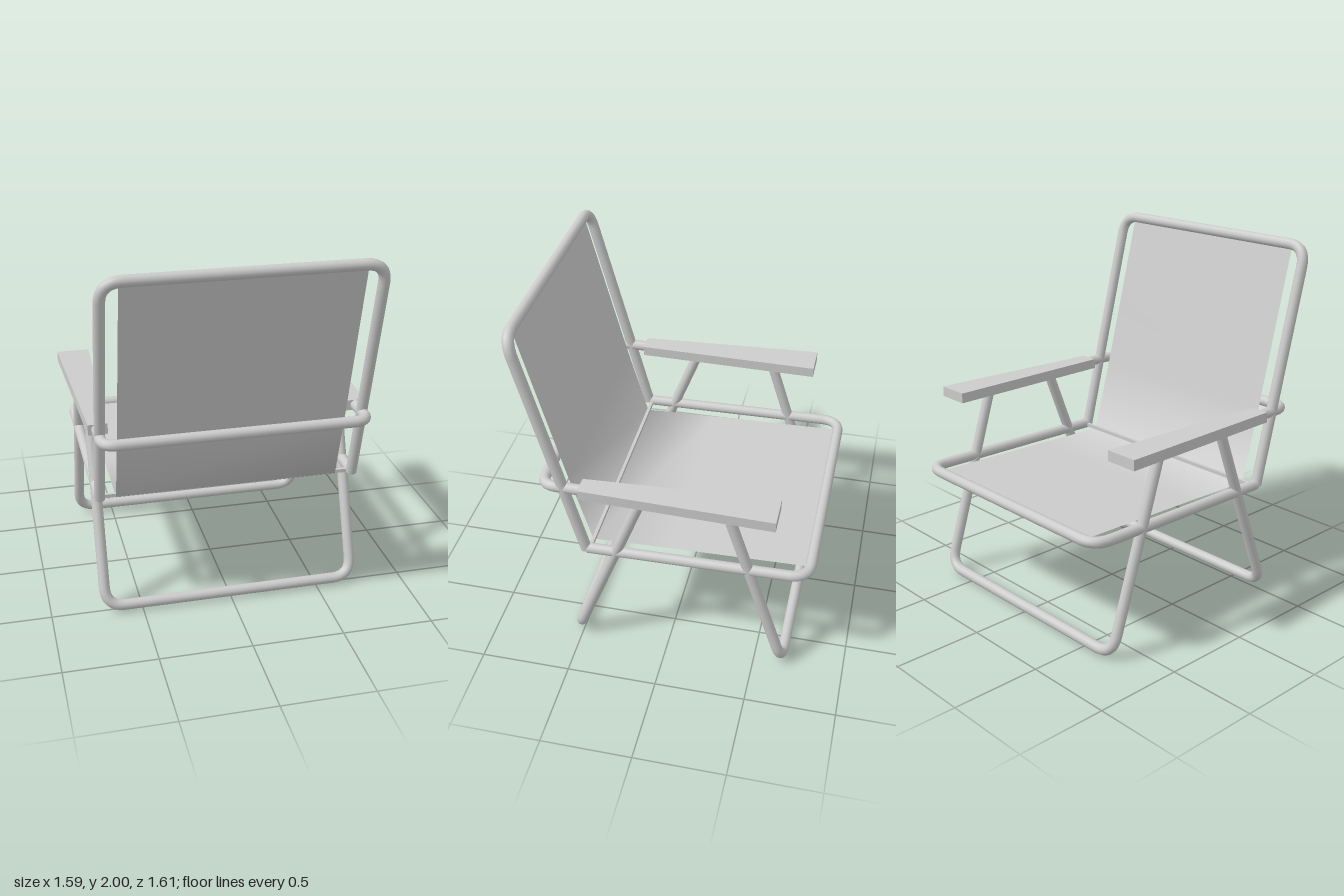
import * as THREE from 'three';

const R = 0.03;   // tube radius
const X = 0.705;  // half width of the frame, to the tube centre

const grey = new THREE.MeshStandardMaterial({ color: 0xcccccc });
grey.name = 'grey';
const greySheet = grey.clone();
greySheet.name = 'grey sheet';
greySheet.side = THREE.DoubleSide;

// U-shaped tube: two arms start at (y, z) "open" and meet in a crossbar at (y, z) "closed"
function uTube(name, open, closed, bend) {
  const at = (x, p) => new THREE.Vector3(x, p[0], p[1]);
  const pts = [at(X, open), at(X, closed), at(-X, closed), at(-X, open)];
  const toward = (a, b, d) => b.clone().sub(a).setLength(d).add(a);
  const path = new THREE.CurvePath();
  let from = pts[0];
  for (const i of [1, 2]) {
    const a = toward(pts[i], pts[i - 1], bend);
    const b = toward(pts[i], pts[i + 1], bend);
    path.add(new THREE.LineCurve3(from, a));
    path.add(new THREE.QuadraticBezierCurve3(a, pts[i], b));
    from = b;
  }
  path.add(new THREE.LineCurve3(from, pts[3]));

  const group = new THREE.Group();
  group.name = name;
  const tube = new THREE.Mesh(new THREE.TubeGeometry(path, 160, R, 12, false), grey);
  tube.name = name + 'Tube';
  group.add(tube);
  // flat caps on the two open ends
  for (const [end, next] of [[pts[0], pts[1]], [pts[3], pts[2]]]) {
    const cap = new THREE.Mesh(new THREE.CircleGeometry(R, 12), grey);
    cap.name = name + 'Cap';
    cap.position.copy(end);
    cap.lookAt(end.clone().multiplyScalar(2).sub(next));
    group.add(cap);
  }
  return group;
}

// One smooth sheet running down the backrest and forward along the seat
function fabric() {
  const rows = [[1.97, 0.775], [1.5, 0.655], [1.08, 0.547], [0.66, 0.43], [0.675, 0], [0.685, -0.4], [0.695, -0.77]];
  const w = 0.615;
  const pos = [];
  const index = [];
  rows.forEach(([y, z], i) => {
    pos.push(-w, y, z, w, y, z);
    if (i) {
      const a = 2 * i - 2;
      index.push(a, a + 2, a + 1, a + 1, a + 2, a + 3);
    }
  });
  const g = new THREE.BufferGeometry();
  g.setAttribute('position', new THREE.Float32BufferAttribute(pos, 3));
  // faces point toward the sitter
  g.setIndex(index.reverse());
  g.computeVertexNormals();
  const mesh = new THREE.Mesh(g, greySheet);
  mesh.name = 'fabric';
  return mesh;
}

// Tapered armrest, wider toward the sitter's hands
function armrest(side) {
  const g = new THREE.BoxGeometry(1, 1, 1);
  const p = g.attributes.position;
  for (let i = 0; i < p.count; i++) {
    const hand = p.getZ(i) < 0;
    const outer = p.getX(i) * side > 0;
    const x = hand ? (outer ? 0.795 : 0.61) : (outer ? 0.752 : 0.648);
    const y = (hand ? 1.095 : 1.08) + p.getY(i) * 0.058;
    p.setXYZ(i, side * x, y, hand ? -0.595 : 0.455);
  }
  g.computeVertexNormals();
  const mesh = new THREE.Mesh(g, grey);
  mesh.name = side > 0 ? 'leftArmrest' : 'rightArmrest';
  return mesh;
}

export function createModel() {
  const model = new THREE.Group();
  model.name = 'foldingChair';

  // bent tube frames
  model.add(
    uTube('backrestFrame', [0.67, 0.443], [1.97, 0.776], 0.11),
    uTube('seatFrame', [0.675, 0.435], [0.695, -0.772], 0.11),
    uTube('backLegs', [1.07, 0.125], [0.04, 0.522], 0.11),
    uTube('frontLegs', [1.07, -0.33], [0.033, -0.657], 0.11),
    uTube('armCrossbar', [1.08, 0.44], [1.08, 0.665], 0.08),
  );

  model.add(fabric());
  for (const side of [1, -1]) model.add(armrest(side));

  // thin rod where the seat meets the backrest
  const rod = new THREE.Mesh(new THREE.BoxGeometry(2 * X, 0.02, 0.018), grey);
  rod.name = 'seatHingeRod';
  rod.position.set(0, 0.672, 0.422);
  model.add(rod);

  return model;
}
